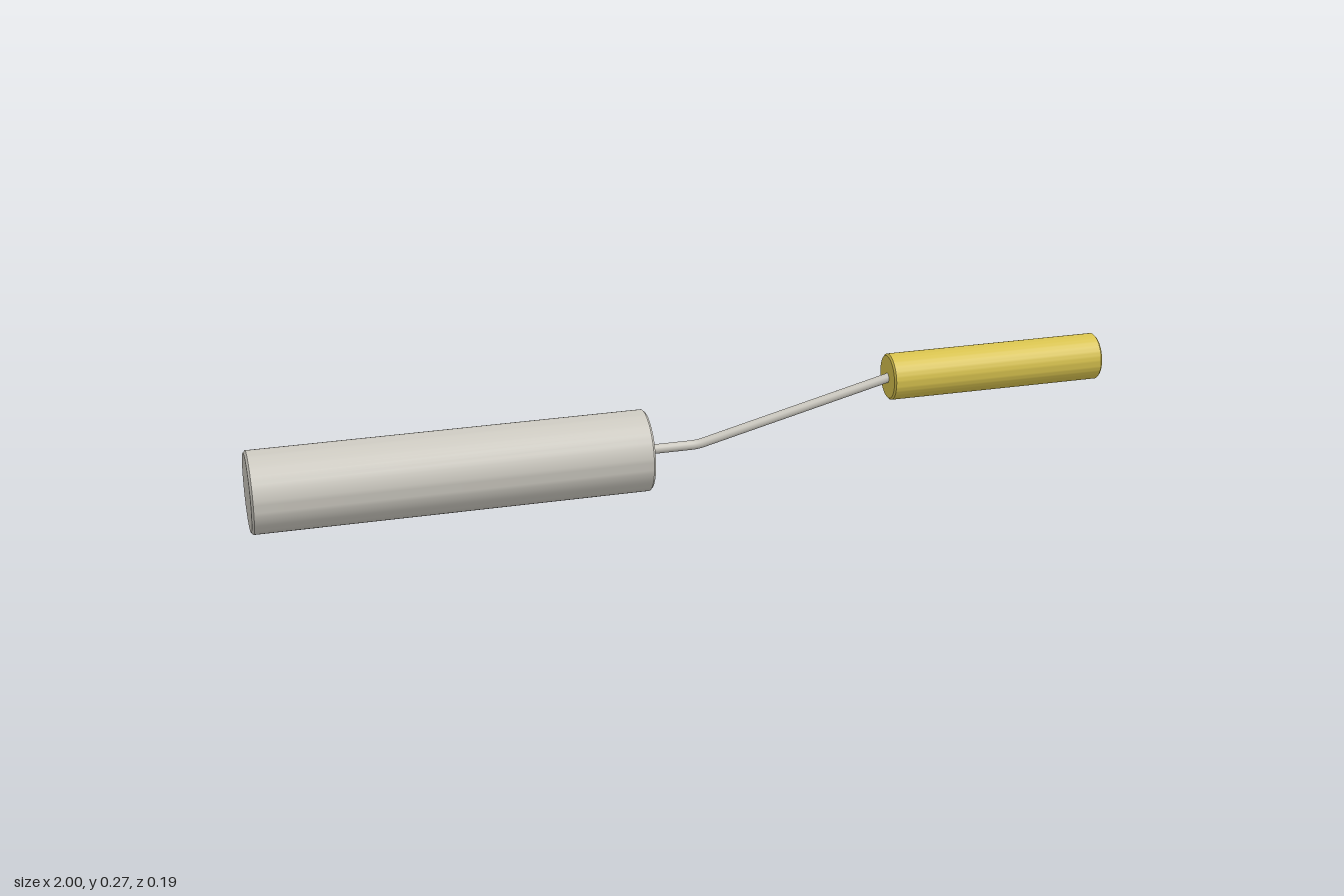
import * as THREE from 'three';
import { toCreasedNormals } from 'three/addons/utils/BufferGeometryUtils.js';

const ROLLER_Y = 0.095, GRIP_Y = 0.215;

// Solid cylinder along x with finely bevelled end rims
function bevelledCylinder(name, x0, x1, y, radius, bevel, material) {
  const length = x1 - x0;
  const profile = [
    [0, 0], [radius - bevel, 0], [radius, bevel],
    [radius, length - bevel], [radius - bevel, length], [0, length],
  ].map(([r, h]) => new THREE.Vector2(r, h));
  const geometry = toCreasedNormals(new THREE.LatheGeometry(profile, 64), 0.5);
  geometry.rotateZ(-Math.PI / 2);
  const mesh = new THREE.Mesh(geometry, material);
  mesh.name = name;
  mesh.position.set(x0, y, 0);
  return mesh;
}

export function createModel() {
  const sleeveGrey = new THREE.MeshStandardMaterial({ color: 0xcfccc3 });
  sleeveGrey.name = 'warm grey';
  const gripYellow = new THREE.MeshStandardMaterial({ color: 0xdcc650 });
  gripYellow.name = 'yellow';

  const model = new THREE.Group();
  model.name = 'paintRoller';

  // Roller sleeve and handle grip
  model.add(bevelledCylinder('rollerSleeve', -1, -0.092, ROLLER_Y, 0.094, 0.005, sleeveGrey));
  model.add(bevelledCylinder('handleGrip', 0.485, 1, GRIP_Y, 0.054, 0.004, gripYellow));

  // Bent wire joining them, its ends buried in both cylinders
  const start = new THREE.Vector3(-0.11, ROLLER_Y, 0);
  const bend = new THREE.Vector3(0.028, ROLLER_Y, 0);
  const end = new THREE.Vector3(0.495, GRIP_Y, 0);
  const before = bend.clone().lerp(start, 0.1);
  const after = bend.clone().lerp(end, 0.03);
  const path = new THREE.CurvePath();
  path.add(new THREE.LineCurve3(start, before));
  path.add(new THREE.QuadraticBezierCurve3(before, bend, after));
  path.add(new THREE.LineCurve3(after, end));
  const wire = new THREE.Mesh(new THREE.TubeGeometry(path, 90, 0.011, 20), sleeveGrey);
  wire.name = 'bentWire';
  model.add(wire);

  return model;
}
